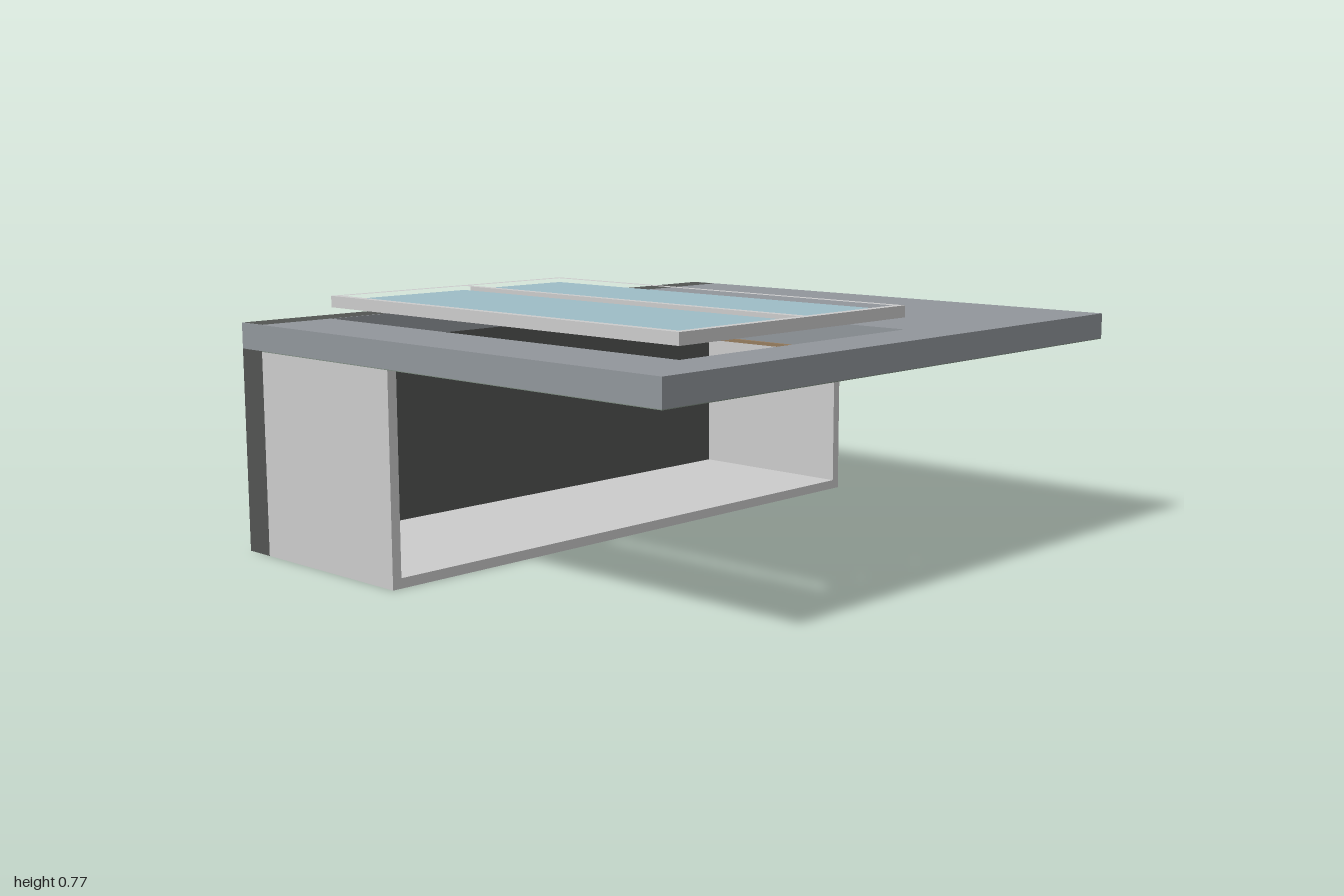
import * as THREE from 'three';

const mat = (color) => new THREE.MeshStandardMaterial({ color });
const grey = mat(0xcccccc);
const slabGrey = mat(0x91969b);
const ceilingGrey = mat(0x7c8a7f);
const charcoal = mat(0x525452);
const glassBlue = mat(0x9dbcc6);
const brown = mat(0x957c5e);

export function createModel() {
  const model = new THREE.Group();

  const add = (name, geometry, material) => {
    const mesh = new THREE.Mesh(geometry, material);
    mesh.name = name;
    model.add(mesh);
  };
  // Box given by its limits on each axis
  const box = (name, x0, x1, y0, y1, z0, z1, material) => {
    const g = new THREE.BoxGeometry(x1 - x0, y1 - y0, z1 - z0);
    g.translate((x0 + x1) / 2, (y0 + y1) / 2, (z0 + z1) / 2);
    add(name, g, material);
  };
  // Closed outline on the ground plane from [x, z] pairs
  const outline = (pts, Type = THREE.Shape) =>
    new Type(pts.map(([x, z]) => new THREE.Vector2(x, -z)));
  const rect = (x0, x1, z0, z1) => [[x0, z0], [x1, z0], [x1, z1], [x0, z1]];
  // Horizontal plate with holes between two heights
  const plate = (name, pts, holes, y0, y1, material) => {
    const shape = outline(pts);
    shape.holes = holes.map((h) => outline(h, THREE.Path));
    const g = new THREE.ExtrudeGeometry(shape, { depth: y1 - y0, bevelEnabled: false });
    g.rotateX(-Math.PI / 2);
    g.translate(0, y0, 0);
    add(name, g, material);
  };

  // Roof slab with the skylight opening, notched around the back wall
  const opening = rect(-0.75, 0.2, -0.765, 0.69);
  const e = 0.995;
  plate('roofSlab', [
    [-1, 0.87], [1, 0.87], [1, -0.87], [e, -0.87], [e, -0.77],
    [-e, -0.77], [-e, -0.87], [-1, -0.87],
  ], [opening], 0.622, 0.7, slabGrey);
  plate('ceiling', rect(-1, 1, -0.77, 0.87), [opening], 0.62, 0.622, ceilingGrey);

  // Back wall, rising through the notch to the roof surface
  box('backWall', -1, 1, 0, 0.622, -0.87, -0.77, charcoal);
  box('backWallTop', -e, e, 0.622, 0.7, -0.87, -0.77, charcoal);

  // Open-fronted room: two side walls and a floor
  for (const s of [-1, 1]) {
    const xs = [s * 0.97, s].sort((a, b) => a - b);
    box(s > 0 ? 'leftWall' : 'rightWall', ...xs, 0, 0.62, -0.77, -0.17, grey);
  }
  box('floor', -0.97, 0.97, 0, 0.03, -0.77, -0.17, grey);

  // Raised skylight: frame with a mullion and two panes
  const panes = [[-0.725, -0.245], [-0.22, 0.175]].map(([a, b]) => rect(a, b, -0.74, 0.665));
  plate('skylightFrame', rect(-0.75, 0.2, -0.765, 0.69), panes, 0.735, 0.77, grey);
  for (const p of panes) plate('skylightGlass', p, [], 0.747, 0.757, glassBlue);

  // Thin panel under the roof beside the opening
  box('ceilingPanel', 0.2, 0.71, 0.61, 0.62, -0.765, 0.69, brown);

  return model;
}
